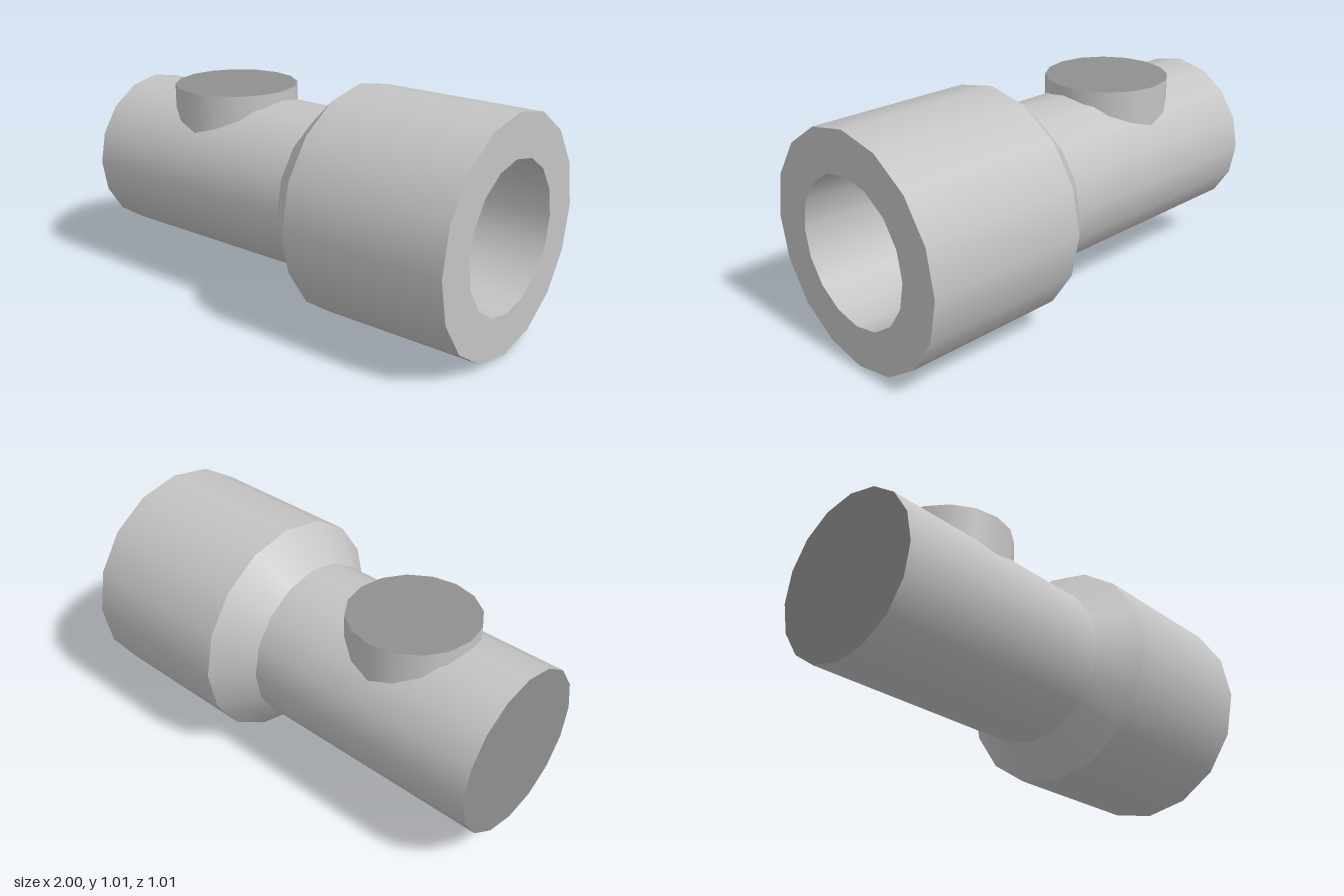
import * as THREE from 'three';

const SIDES = 16;
const AXIS_Y = 0.5075; // height of the pipe axis

export function createModel() {
  const model = new THREE.Group();
  const body = new THREE.MeshStandardMaterial({ color: 0xc4c4c4, side: THREE.DoubleSide });
  body.name = 'light grey';
  const dark = new THREE.MeshStandardMaterial({ color: 0x8f8f8f, side: THREE.DoubleSide });
  dark.name = 'dark grey';

  const add = (name, geometry, material, x, y) => {
    const mesh = new THREE.Mesh(geometry, material);
    mesh.name = name;
    mesh.position.set(x, y, 0);
    model.add(mesh);
    return mesh;
  };

  // Open wall lying along x, from x0 (radius r0) to x1 (radius r1)
  const wall = (name, x0, r0, x1, r1) => {
    const geometry = new THREE.CylinderGeometry(r1, r0, x1 - x0, SIDES, 1, true);
    geometry.rotateZ(-Math.PI / 2);
    add(name, geometry, body, (x0 + x1) / 2, AXIS_Y);
  };

  // Pipe: narrow tube, flared shoulder, wide socket and the bore inside
  wall('narrowTube', -1, 0.366, 0.11, 0.366);
  wall('shoulder', 0.11, 0.366, 0.26, 0.5075);
  wall('socket', 0.26, 0.5075, 1, 0.5075);
  wall('bore', -1, 0.322, 1, 0.322);

  // Open rim on the left, closed cap on the right
  add('socketRim', new THREE.RingGeometry(0.322, 0.5075, SIDES).rotateY(Math.PI / 2), body, 1, AXIS_Y);
  add('endCap', new THREE.CircleGeometry(0.366, SIDES).rotateY(-Math.PI / 2), dark, -1, AXIS_Y);

  // Upright branch that reaches into the bore, with its cap
  const bottom = 0.695, top = 0.915, branchX = -0.447, branchR = 0.28;
  add('branchWall', new THREE.CylinderGeometry(branchR, branchR, top - bottom, SIDES, 1, true),
    body, branchX, (top + bottom) / 2);
  add('branchCap', new THREE.CircleGeometry(branchR, SIDES).rotateX(-Math.PI / 2), dark, branchX, top);
  add('branchBase', new THREE.CircleGeometry(branchR, SIDES).rotateX(Math.PI / 2), body, branchX, bottom);

  return model;
}
